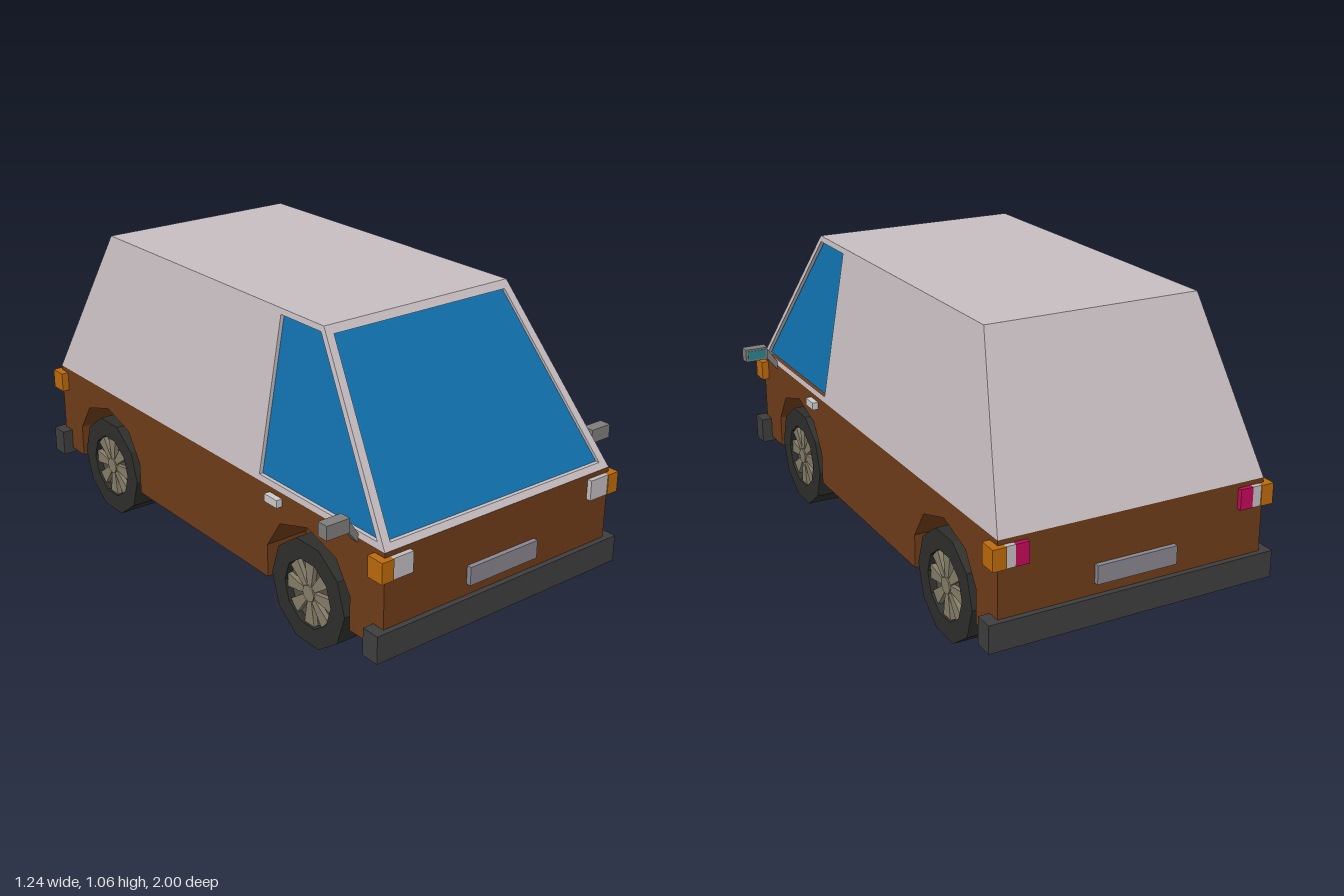
import * as THREE from 'three';

const mat = (color) => new THREE.MeshStandardMaterial({ color, flatShading: true });
const M = {
  paint: mat(0x6e3c19), shell: mat(0xc6bdc1), glass: mat(0x1070ac), rubber: mat(0x2e2e2b),
  bumper: mat(0x3e3e3e), plate: mat(0x88868e), trim: mat(0x807d7b), handle: mat(0xc0bcbc),
  amber: mat(0xbb6a0c), white: mat(0xc2bcc0), red: mat(0xc00a58), mirror: mat(0x2c8290),
  rim: mat(0x57513f), spoke: mat(0x857d69),
};
const BELT = 0.49, ROOF = 1.06, HALF_W = 0.49, HALF_L = 0.98;
const SIDE_LEAN = 0.1 / 0.57, FRONT_LEAN = 0.42 / 0.57, BACK_LEAN = 0.27 / 0.57;

const vec = (pts, s = 1) => pts.map(([u, y]) => new THREE.Vector2(u * s, y));

function add(parent, name, geometry, material) {
  const mesh = new THREE.Mesh(geometry, material);
  mesh.name = name;
  parent.add(mesh);
  return mesh;
}

// Box given by its extents on each axis
function box(parent, name, material, [x0, x1], [y0, y1], [z0, z1]) {
  const g = new THREE.BoxGeometry(Math.abs(x1 - x0), y1 - y0, Math.abs(z1 - z0));
  g.translate((x0 + x1) / 2, (y0 + y1) / 2, (z0 + z1) / 2);
  return add(parent, name, g, material);
}

// Upright panel facing angle `turn`, its outer face `dist` from the centre, leaning inward above the belt
function panel(outline, hole, { turn, dist, lean = 0, depth = 0.018 }) {
  const shape = new THREE.Shape(outline);
  if (hole) shape.holes.push(new THREE.Path(hole));
  const g = new THREE.ExtrudeGeometry(shape, { depth, bevelEnabled: false });
  const p = g.attributes.position;
  for (let i = 0; i < p.count; i++) {
    p.setZ(i, p.getZ(i) - depth + dist - lean * (p.getY(i) - BELT));
  }
  g.rotateY(turn);
  g.computeVertexNormals();
  return g;
}

// Wheel facing +z, ten sided and standing on a flat
function makeWheel(name) {
  const wheel = new THREE.Group();
  wheel.name = name;
  const ring = (r) => Array.from({ length: 10 }, (_, i) =>
    new THREE.Vector2(r * Math.cos(i * Math.PI / 5), r * Math.sin(i * Math.PI / 5)));
  const shape = new THREE.Shape(ring(0.19));
  shape.holes.push(new THREE.Path(ring(0.12)));
  const tyre = new THREE.ExtrudeGeometry(shape, { depth: 0.15, bevelEnabled: false });
  add(wheel, 'tyre', tyre.translate(0, 0, -0.15), M.rubber);
  const rim = new THREE.CylinderGeometry(0.122, 0.122, 0.12, 10);
  rim.rotateX(Math.PI / 2).translate(0, 0, -0.085);
  add(wheel, 'rim', rim, M.rim);
  const wedge = new THREE.Shape(vec([[0.02, -0.009], [0.114, -0.025], [0.114, 0.025], [0.02, 0.009]]));
  for (let i = 0; i < 8; i++) {
    const g = new THREE.ExtrudeGeometry(wedge, { depth: 0.018, bevelEnabled: false });
    g.translate(0, 0, -0.026).rotateZ(i * Math.PI / 4);
    add(wheel, 'spoke', g, M.spoke);
  }
  const hub = new THREE.CylinderGeometry(0.03, 0.03, 0.03, 8);
  add(wheel, 'hub', hub.rotateX(Math.PI / 2).translate(0, 0, -0.018), M.spoke);
  return wheel;
}

export function createModel() {
  const car = new THREE.Group();
  car.name = 'van';
  const axles = [0.605, -0.63];

  // Lower body: centre block with slabs notched for the wheel arches
  box(car, 'bodyCentre', M.paint, [-0.33, 0.33], [0.15, BELT], [-HALF_L, HALF_L]);
  const arch = [[-0.215, 0.15], [-0.215, 0.27], [-0.145, 0.375], [0, 0.42],
    [0.145, 0.375], [0.215, 0.27], [0.215, 0.15]];
  const sill = [[-HALF_L, BELT], [-HALF_L, 0.15]];
  for (const z of [...axles].reverse()) sill.push(...arch.map(([u, y]) => [u + z, y]));
  sill.push([HALF_L, 0.15], [HALF_L, BELT]);

  // Cabin outlines, sides in (z, y) and ends in (x, y)
  const sideOutline = [[HALF_L, BELT], [0.56, ROOF], [-0.71, ROOF], [-HALF_L, BELT]];
  const sideWindow = [[0.94, 0.51], [0.55, 1.04], [0.345, 1.04], [0.345, 0.51]];
  const endOutline = [[-HALF_W, BELT], [HALF_W, BELT], [0.39, ROOF], [-0.39, ROOF]];
  const screen = [[-0.457, 0.51], [0.457, 0.51], [0.365, 1.035], [-0.365, 1.035]];

  const front = { turn: 0, dist: HALF_L, lean: FRONT_LEAN };
  add(car, 'windscreenFrame', panel(vec(endOutline), vec(screen), front), M.shell);
  add(car, 'windscreen', panel(vec(screen), null, { ...front, dist: HALF_L - 0.014, depth: 0.004 }), M.glass);
  add(car, 'backPanel', panel(vec(endOutline), null, { turn: Math.PI, dist: HALF_L, lean: BACK_LEAN }), M.shell);
  box(car, 'roof', M.shell, [-0.388, 0.388], [ROOF - 0.015, ROOF], [-0.71, 0.56]);

  for (const s of [1, -1]) {
    const side = s > 0 ? 'left' : 'right';
    const turn = s * Math.PI / 2;
    const wall = { turn, dist: HALF_W, lean: SIDE_LEAN };
    add(car, side + 'BodySide', panel(vec(sill, -s), null, { turn, dist: HALF_W, depth: 0.16 }), M.paint);
    add(car, side + 'CabinSide', panel(vec(sideOutline, -s), vec(sideWindow, -s), wall), M.shell);
    add(car, side + 'Window',
      panel(vec(sideWindow, -s), null, { ...wall, dist: HALF_W - 0.014, depth: 0.004 }), M.glass);

    // Wheels
    axles.forEach((z, i) => {
      const wheel = makeWheel(side + (i ? 'Rear' : 'Front') + 'Wheel');
      wheel.rotation.y = turn;
      wheel.position.set(s * HALF_W, 0.181, z);
      car.add(wheel);
    });

    // Lamps
    const span = (a, b) => [s * a, s * b];
    const lampY = [0.4, 0.473];
    box(car, side + 'Headlamp', M.white, span(0.39, 0.47), lampY, [0.96, 0.997]);
    box(car, side + 'FrontIndicator', M.amber, span(0.47, 0.517), lampY, [0.933, 1]);
    box(car, side + 'RearIndicator', M.amber, span(0.47, 0.517), lampY, [-1, -0.933]);
    box(car, side + 'ReversingLamp', M.white, span(0.438, 0.47), lampY, [-0.997, -0.96]);
    box(car, side + 'TailLamp', M.red, span(0.39, 0.438), lampY, [-0.997, -0.96]);

    // Door handle and mirror
    box(car, side + 'DoorHandle', M.handle, span(0.48, 0.512), [0.442, 0.47], [0.405, 0.472]);
    const arm = new THREE.Shape(vec([[0.48, 0.465], [0.492, 0.475], [0.532, 0.525], [0.532, 0.57], [0.48, 0.49]], s));
    const armGeo = new THREE.ExtrudeGeometry(arm, { depth: 0.026, bevelEnabled: false });
    add(car, side + 'MirrorArm', armGeo.translate(0, 0, 0.829), M.trim);
    box(car, side + 'MirrorHousing', M.trim, span(0.53, 0.618), [0.523, 0.572], [0.823, 0.865]);
    box(car, side + 'MirrorGlass', M.mirror, span(0.538, 0.61), [0.53, 0.565], [0.821, 0.83]);
  }

  // Bumpers and blank plates
  for (const [end, d] of [['front', 1], ['rear', -1]]) {
    box(car, end + 'Bumper', M.bumper, [-0.53, 0.53], [0.132, 0.228], [d * 0.932, d]);
    box(car, end + 'Plate', M.plate, [-0.148, 0.148], [0.268, 0.333], [d * 0.97, d * 0.997]);
  }
  return car;
}
